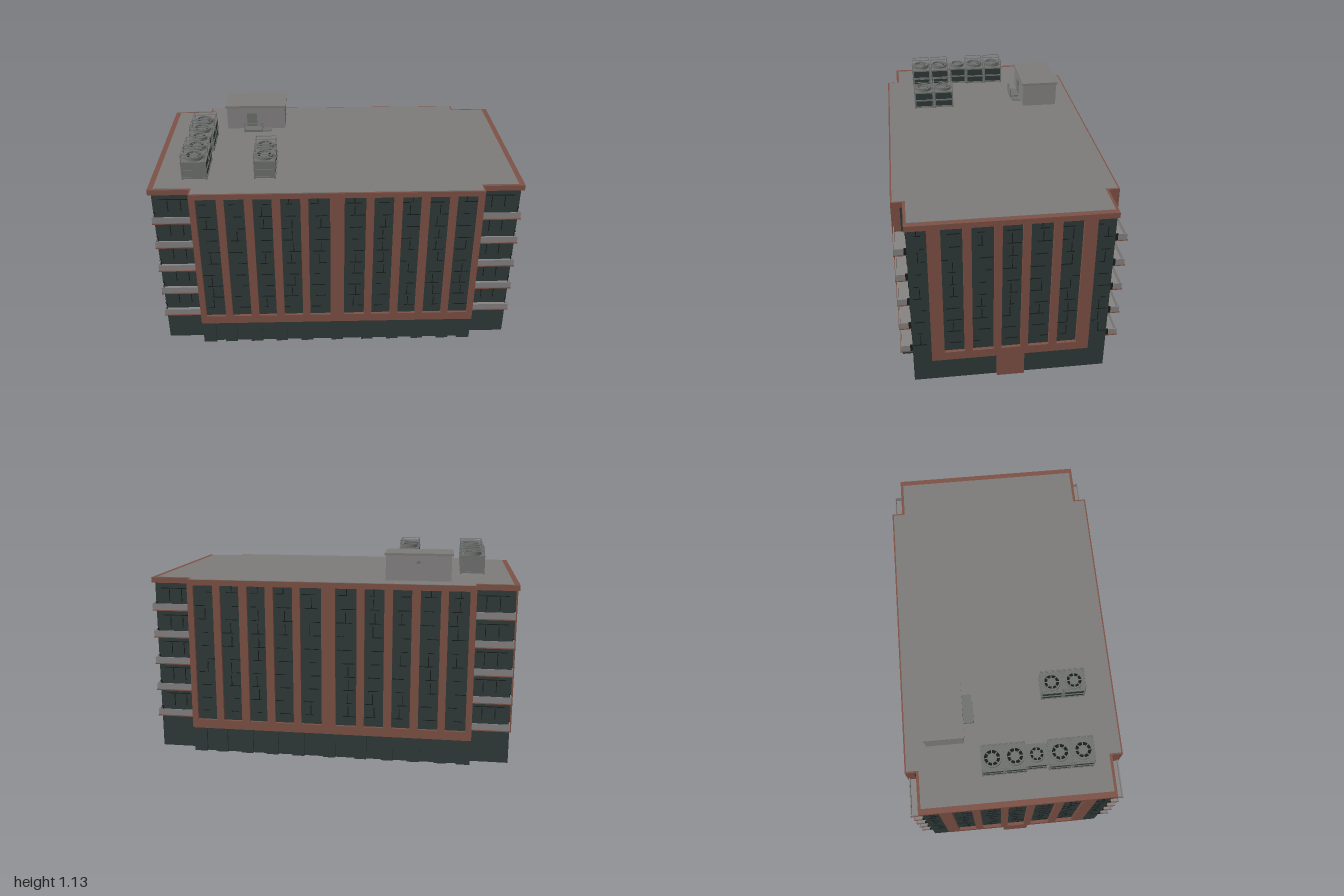
import * as THREE from 'three';

const mat = (name, color, side = THREE.FrontSide) => {
  const m = new THREE.MeshStandardMaterial({ color, side });
  m.name = name;
  return m;
};

export function createModel() {
  const brick = mat('brick', 0x7d5145);
  const glass = mat('darkGlass', 0x2f3a38);
  const seam = mat('seamBlack', 0x161c1b);
  const roofGrey = mat('roofGrey', 0x7c7b79);
  const metal = mat('metalGrey', 0x6f716f, THREE.DoubleSide);
  const panel = mat('balconyGrey', 0x858282);
  const model = new THREE.Group();
  model.name = 'officeBuilding';

  const group = (name, parent = model) => {
    const g = new THREE.Group();
    g.name = name;
    parent.add(g);
    return g;
  };
  const add = (name, geo, m, parent) => {
    const mesh = new THREE.Mesh(geo, m);
    mesh.name = name;
    parent.add(mesh);
    return mesh;
  };
  // Box from its limits on each axis
  const box = (name, m, x0, x1, y0, y1, z0, z1, parent = model) => {
    const b = add(name, new THREE.BoxGeometry(x1 - x0, y1 - y0, z1 - z0), m, parent);
    b.position.set((x0 + x1) / 2, (y0 + y1) / 2, (z0 + z1) / 2);
    return b;
  };
  const rect = (P, x0, x1, y0, y1) => {
    const p = new P();
    p.moveTo(x0, y0);
    p.lineTo(x1, y0);
    p.lineTo(x1, y1);
    p.lineTo(x0, y1);
    p.closePath();
    return p;
  };
  let seed = 7;
  const rand = () => (seed = (seed * 16807) % 2147483647) / 2147483647;

  // Brick frame with tall window openings, outer face at z = dist
  const frame = (half, openings, dist, depth, parent) => {
    const s = rect(THREE.Shape, -half, half, 0.14, 0.985);
    openings.forEach(([a, b]) => s.holes.push(rect(THREE.Path, a, b, 0.19, 0.955)));
    const geo = new THREE.ExtrudeGeometry(s, { depth, bevelEnabled: false });
    geo.translate(0, 0, dist - depth);
    add('brickFrame', geo, brick, parent);
  };
  // Short dark joints between glass panels
  const joints = (a, b, z, parent) => {
    for (let y = 0.24; y < 0.95; y += 0.075) {
      const w = (b - a) * (0.25 + 0.5 * rand());
      const x = a + (b - a - w) * rand();
      box('panelJoint', seam, x, x + w, y, y + 0.004, z, z + 0.003, parent);
      if (rand() < 0.5) {
        const c = a + (b - a) * (0.4 + 0.2 * rand());
        box('panelJoint', seam, c, c + 0.004, y, y + 0.06, z, z + 0.003, parent);
      }
    }
  };

  // Long facades
  const longHalf = [[0.038, 0.153], [0.195, 0.3], [0.345, 0.445], [0.49, 0.595], [0.635, 0.745]];
  const longOpen = [...longHalf, ...longHalf.map(([a, b]) => [-b, -a])];
  for (const turn of [0, Math.PI]) {
    const g = group(turn ? 'backFacade' : 'frontFacade');
    g.rotation.y = turn;
    frame(0.778, longOpen, 0.578, 0.045, g);
    box('windowGlass', glass, -0.77, 0.77, 0.16, 0.97, 0.55, 0.562, g);
    longOpen.forEach(([a, b]) => joints(a, b, 0.562, g));
    box('groundFloorWall', glass, -0.775, 0.775, 0, 0.14, 0.545, 0.558, g);
    for (const x of [0, 0.174, 0.322, 0.467, 0.615, 0.735]) {
      for (const s of x ? [1, -1] : [1]) {
        box('groundPier', glass, s * x - 0.034, s * x + 0.034, 0, 0.14, 0.556, 0.572, g);
      }
    }
  }

  // End facades
  const endOpen = [[-0.05, 0.05], [0.09, 0.2], [0.243, 0.348], [-0.2, -0.09], [-0.348, -0.243]];
  for (const turn of [Math.PI / 2, -Math.PI / 2]) {
    const g = group(turn > 0 ? 'leftEnd' : 'rightEnd');
    g.rotation.y = turn;
    frame(0.415, endOpen, 1, 0.045, g);
    box('endGlass', glass, -0.512, 0.512, 0, 0.96, 0.968, 0.982, g);
    endOpen.forEach(([a, b]) => joints(a, b, 0.982, g));
    joints(0.42, 0.51, 0.982, g);
    joints(-0.51, -0.42, 0.982, g);
    box('entrancePier', brick, -0.073, 0.073, 0, 0.14, 0.96, 1, g);
    for (const s of [-1, 1]) {
      box('endParapet', brick, s < 0 ? -0.52 : 0.415, s < 0 ? -0.415 : 0.52, 0.955, 0.985, 0.968, 1, g);
    }
  }

  // Recessed corners with balconies
  for (const sx of [1, -1]) {
    for (const sz of [1, -1]) {
      const g = group('balconyCorner');
      const b = (name, m, x0, x1, y0, y1, z0, z1) => box(name, m,
        Math.min(sx * x0, sx * x1), Math.max(sx * x0, sx * x1), y0, y1,
        Math.min(sz * z0, sz * z1), Math.max(sz * z0, sz * z1), g);
      b('cornerWall', glass, 0.765, 0.982, 0, 0.957, 0.5, 0.512);
      b('returnWall', glass, 0.76, 0.775, 0, 0.957, 0.505, 0.57);
      b('cornerParapet', brick, 0.765, 1, 0.955, 0.985, 0.497, 0.52);
      b('returnParapet', brick, 0.76, 0.778, 0.955, 0.985, 0.5, 0.575);
      for (let i = 0; i < 5; i++) {
        const y = 0.2 + i * 0.152;
        b('balconySlab', brick, 0.775, 0.982, y, y + 0.005, 0.512, 0.576);
        b('balconyFloor', panel, 0.778, 0.978, y + 0.005, y + 0.008, 0.512, 0.57);
        b('balconyFront', panel, 0.778, 0.98, y + 0.008, y + 0.04, 0.567, 0.572);
        b('balconySide', panel, 0.975, 0.98, y + 0.008, y + 0.04, 0.525, 0.567);
        b('balconyPost', seam, 0.974, 0.981, y + 0.005, y + 0.042, 0.512, 0.525);
        for (const x of [0.83, 0.9]) b('doorJoint', seam, x, x + 0.004, y + 0.045, y + 0.11, 0.512, 0.515);
        b('doorJoint', seam, 0.79, 0.95, y + 0.115, y + 0.119, 0.512, 0.515);
      }
    }
  }

  // Flat roof
  const deck = new THREE.Shape();
  [[0.77, 0.57], [0.77, 0.505], [0.97, 0.505], [0.97, -0.505], [0.77, -0.505], [0.77, -0.57],
    [-0.77, -0.57], [-0.77, -0.505], [-0.97, -0.505], [-0.97, 0.505], [-0.77, 0.505], [-0.77, 0.57]]
    .forEach(([x, z], i) => (i ? deck.lineTo(x, z) : deck.moveTo(x, z)));
  const deckGeo = new THREE.ExtrudeGeometry(deck, { depth: 0.018, bevelEnabled: false });
  deckGeo.rotateX(-Math.PI / 2).translate(0, 0.969, 0);
  add('roofDeck', deckGeo, roofGrey, model);

  // Stair penthouse
  const hut = group('penthouse');
  box('hutWalls', panel, -0.645, -0.295, 0.985, 1.122, -0.46, -0.255, hut);
  box('hutRoof', roofGrey, -0.653, -0.288, 1.122, 1.135, -0.467, -0.248, hut);
  box('hutDoor', metal, -0.525, -0.465, 1, 1.085, -0.255, -0.25, hut);
  box('hutLamp', metal, -0.48, -0.46, 1.08, 1.095, -0.47, -0.46, hut);
  box('landing', metal, -0.54, -0.43, 0.985, 1.002, -0.25, -0.195, hut);
  box('step', metal, -0.43, -0.38, 0.985, 0.994, -0.25, -0.2, hut);
  for (const x of [-0.54, -0.435]) box('landingPost', metal, x, x + 0.004, 1, 1.045, -0.199, -0.195, hut);
  box('landingRail', metal, -0.54, -0.431, 1.041, 1.045, -0.199, -0.195, hut);

  // Cooling unit: framed cabinet, fan on top, optional guard rail
  const fanUnit = (x, z, w, d, r, rail) => {
    const g = group('coolingUnit');
    g.position.set(x, 0.985, z);
    const [hw, hd] = [w / 2, d / 2];
    box('cabinet', metal, -hw + 0.008, hw - 0.008, 0.012, 0.104, -hd + 0.004, hd - 0.004, g);
    for (const y of [0.008, 0.05, 0.1]) box('cabinetBand', metal, -hw, hw, y, y + 0.008, -hd, hd, g);
    for (const s of [-1, 1]) {
      for (const y of [0.017, 0.059]) {
        box('sidePanel', glass, s * (hw - 0.006) - 0.003, s * (hw - 0.006) + 0.003, y, y + 0.04, -hd + 0.006, hd - 0.006, g);
      }
      for (const t of [-1, 1]) {
        box('leg', metal, s * (hw - 0.005) - 0.004, s * (hw - 0.005) + 0.004, 0, 0.104, t * (hd - 0.005) - 0.004, t * (hd - 0.005) + 0.004, g);
      }
    }
    add('fanShroud', new THREE.CylinderGeometry(r, r, 0.02, 24, 1, true), metal, g).position.y = 0.117;
    add('fanWell', new THREE.CylinderGeometry(r * 0.85, r * 0.85, 0.004, 24), seam, g).position.y = 0.111;
    const rim = add('fanRim', new THREE.RingGeometry(r * 0.82, r, 24), metal, g);
    rim.rotation.x = -Math.PI / 2;
    rim.position.y = 0.127;
    add('fanHub', new THREE.CylinderGeometry(r * 0.5, r * 0.5, 0.01, 16), metal, g).position.y = 0.117;
    for (let i = 0; i < 4; i++) {
      const blade = add('fanBlade', new THREE.BoxGeometry(r * 1.6, 0.003, 0.006), metal, g);
      blade.position.y = 0.12;
      blade.rotation.y = i * Math.PI / 4;
    }
    if (!rail) return;
    for (const s of [-1, 1]) {
      for (const y of [0.128, 0.147]) {
        box('guardRail', metal, s * hw * 0.93 - 0.0015, s * hw * 0.93 + 0.0015, y, y + 0.003, -hd * 0.93, hd * 0.93, g);
        box('guardRail', metal, -hw * 0.93, hw * 0.93, y, y + 0.003, s * hd * 0.93 - 0.0015, s * hd * 0.93 + 0.0015, g);
      }
      for (const t of [-1, 1]) {
        box('guardPost', metal, s * hw * 0.93 - 0.0015, s * hw * 0.93 + 0.0015, 0.104, 0.15, t * hd * 0.93 - 0.0015, t * hd * 0.93 + 0.0015, g);
      }
    }
  };
  [-0.115, 0.003, 0.115, 0.235, 0.355].forEach((z, i) =>
    fanUnit(-0.762, z, i === 2 ? 0.115 : 0.138, i === 2 ? 0.105 : 0.117, i === 2 ? 0.042 : 0.05, i !== 2));
  for (const z of [0.235, 0.355]) fanUnit(-0.385, z, 0.118, 0.118, 0.048, true);

  return model;
}
